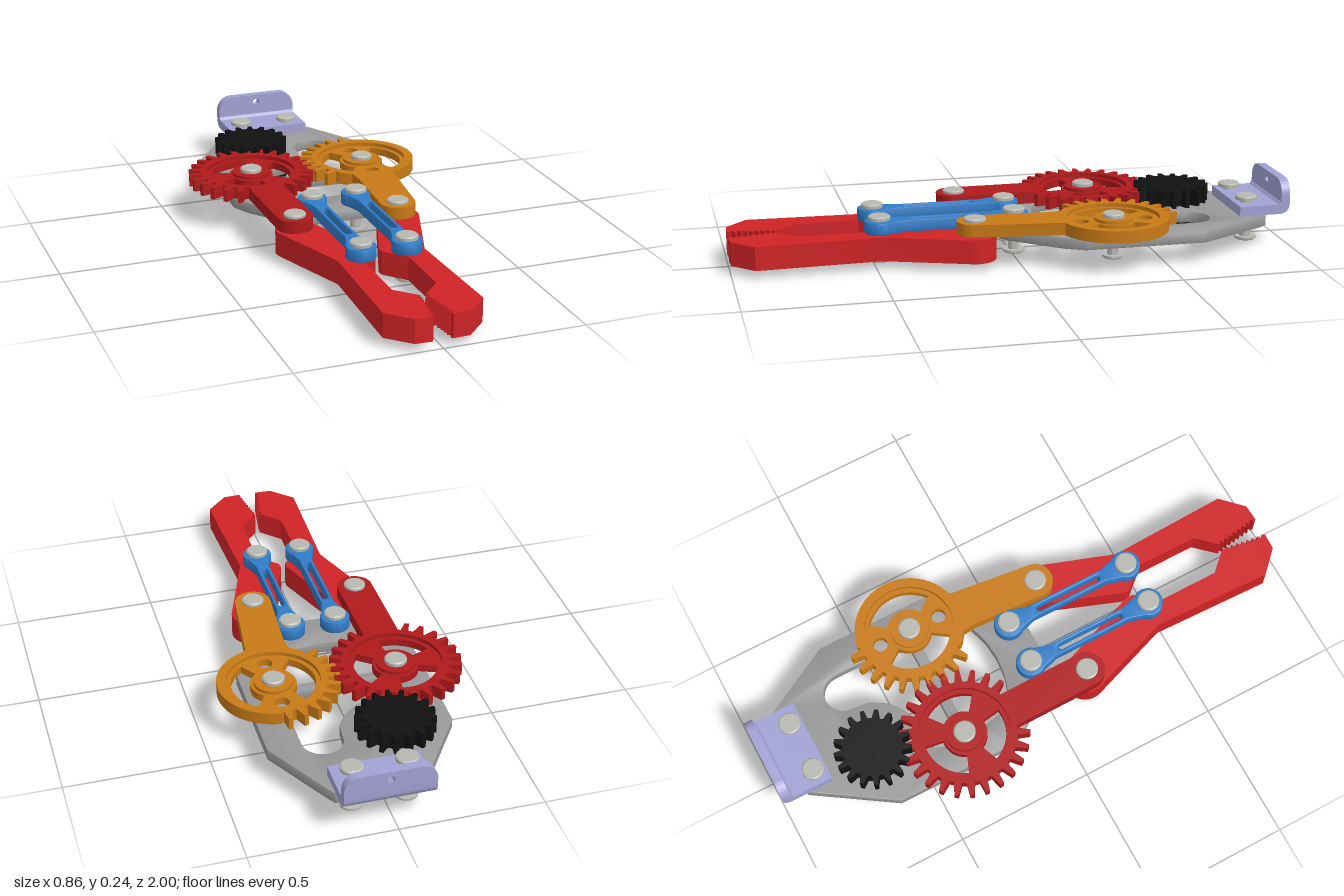
import * as THREE from 'three';
import { toCreasedNormals } from 'three/addons/utils/BufferGeometryUtils.js';

const mat = (color) => new THREE.MeshStandardMaterial({ color });
const RED = mat(0xd02326), GEAR_RED = mat(0xb01a1c), ORANGE = mat(0xc87a16), BLUE = mat(0x2f7cc8);
const GREY = mat(0x999999), STEEL = mat(0xb8b8b2), BLACK = mat(0x111111), LAVENDER = mat(0xa2a2d4);
const TAU = Math.PI * 2, rad = THREE.MathUtils.degToRad;

const vecs = (pts) => pts.map(([x, z]) => new THREE.Vector2(x, z));
const polar = (cx, cz, r, deg) => [cx + r * Math.cos(rad(deg)), cz + r * Math.sin(rad(deg))];
const arc = (cx, cz, r, a0, a1, n = 16) =>
  Array.from({ length: n + 1 }, (_, i) => polar(cx, cz, r, a0 + ((a1 - a0) * i) / n));
const circle = (cx, cz, r, n = 40) => arc(cx, cz, r, 0, 360 - 360 / n, n - 1);

function add(group, name, geometry, material) {
  const mesh = new THREE.Mesh(geometry, material);
  mesh.name = name;
  group.add(mesh);
  return mesh;
}

// Horizontal slab: outline given as (x, z), from height y0 to y1
function slab(outline, holes, y0, y1, bevel = 0) {
  const shape = new THREE.Shape(vecs(outline));
  shape.holes = holes.map((h) => new THREE.Path(vecs(h)));
  const geo = new THREE.ExtrudeGeometry(shape, {
    depth: y1 - y0 - 2 * bevel, bevelEnabled: bevel > 0,
    bevelSize: bevel, bevelThickness: bevel, bevelOffset: -bevel, bevelSegments: 2,
  });
  geo.rotateX(Math.PI / 2).translate(0, y1 - bevel, 0);
  return toCreasedNormals(geo, 0.5);
}

// Gear outline; teeth only between the angles a0 and a1
function gearOutline(cx, cz, root, tip, teeth, a0 = 0, a1 = 360, plain = root) {
  const step = 360 / teeth, pts = [];
  const count = Math.round((a1 - a0) / step);
  for (let i = 0; i < count; i++) {
    const a = a0 + i * step;
    [[0, root], [0.2, root], [0.38, tip], [0.65, tip], [0.82, root]]
      .forEach(([f, r]) => pts.push(polar(cx, cz, r, a + f * step)));
  }
  if (count < teeth) pts.push(...arc(cx, cz, plain, a0 + count * step, a0 + 358, 40));
  return pts;
}

// Ring-segment window in a gear web
const windowPath = (cx, cz, r0, r1, mid, half) => [
  ...arc(cx, cz, r1, mid - half, mid + half),
  ...arc(cx, cz, r0, mid + half, mid - half),
];

// Through bolt with a domed head at both ends
function bolt(group, x, z) {
  const h = 0.039;
  const profile = [[0, 0.015], [h - 0.005, 0.015], [h, 0.019], [h, 0.027], [0.02, 0.027],
    [0.02, 0.163], [h, 0.163], [h, 0.174], [h - 0.005, 0.178], [0, 0.178]];
  const geo = toCreasedNormals(new THREE.LatheGeometry(vecs(profile), 32), 0.6);
  add(group, 'bolt', geo.translate(x, 0, z), STEEL);
}

// Lever gear: raised rim, recessed web with windows, hub and arm
function leverGear(name, cx, cz, outline, windows, extraHoles, arm, material) {
  const g = new THREE.Group();
  g.name = name;
  add(g, 'gearRim', slab(outline, [circle(cx, cz, 0.162, 64)], 0.122, 0.166), material);
  const holes = [...windows.map(([mid, half]) => windowPath(cx, cz, 0.08, 0.146, mid, half)), ...extraHoles];
  add(g, 'gearWeb', slab(circle(cx, cz, 0.165, 64), holes, 0.125, 0.152), material);
  add(g, 'gearHub', slab(circle(cx, cz, 0.068), [], 0.122, 0.163), material);
  add(g, 'gearArm', slab(arm, [], 0.122, 0.166), material);
  return g;
}

function basePlate() {
  const outline = [[-0.12, -0.91], [0.185, -0.91], [0.205, -0.88], [0.338, -0.635], [0.336, -0.2],
    [0.3, -0.13], [0.155, 0.045], [0.13, 0.06], [-0.12, 0.06], [-0.145, 0.045], [-0.275, -0.13],
    [-0.308, -0.2], [-0.303, -0.635], [-0.14, -0.88]];
  const rear = [...arc(0.15, -0.635, 0.07, 180, 360), [0.22, -0.43], [0.18, -0.35], [-0.15, -0.35],
    [-0.2, -0.42], ...arc(-0.1, -0.64, 0.185, 112, 20)];
  const front = [[-0.15, -0.31], [0.18, -0.31], [0.22, -0.25], [0.2, -0.17], [0.15, -0.12],
    [0.08, -0.1], [0.01, -0.093], [-0.06, -0.1], [-0.13, -0.12], [-0.18, -0.17], [-0.2, -0.25]];
  return slab(outline, [rear, front], 0.076, 0.117, 0.004);
}

function jaw(side) {
  // Serrated gripping edge
  const grip = [];
  for (let i = 0; i <= 7; i++) {
    const t = i / 7, x = 0.03 - 0.022 * t, z = 0.99 - 0.14 * t;
    grip.push([x, z], [x + 0.014, z - 0.008]);
  }
  const pts = [
    ...arc(0.19, 0.16, 0.075, 195, 385), [0.157, 0.48], [0.172, 0.92], [0.095, 0.997],
    [0.034, 1], ...grip, [0.008, 0.835], [0.078, 0.76], [0.078, 0.53], [0.012, 0.455], [0.01, 0.43],
  ];
  return slab(pts.map(([x, z]) => [side * x - 0.003, z]), [], 0.03, 0.115);
}

function link(x) {
  const z0 = 0, z1 = 0.48, w = 0.024;
  const outline = [
    ...arc(x, z0, 0.053, 140, 400, 28), [x + w, z0 + 0.09],
    [x + w, z1 - 0.09], ...arc(x, z1, 0.053, -40, 220, 28), [x - w, z1 - 0.09], [x - w, z0 + 0.09],
  ];
  const slot = [...arc(x, 0.125, 0.012, 180, 360, 10), ...arc(x, 0.36, 0.012, 0, 180, 10)];
  return slab(outline, [slot], 0.117, 0.161, 0.004);
}

function bracket() {
  const g = new THREE.Group();
  g.name = 'mountBracket';
  const x0 = -0.125, w = 0.31;
  // Foot with rounded bend, drawn as (-z, y) and swept along x
  const foot = [[0.812, 0.117], ...arc(0.965, 0.152, 0.035, -90, 0, 8), [1, 0.18], [0.968, 0.18],
    [0.968, 0.162], [0.958, 0.152], [0.812, 0.152]];
  const footGeo = new THREE.ExtrudeGeometry(new THREE.Shape(vecs(foot)), { depth: w, bevelEnabled: false });
  footGeo.rotateY(Math.PI / 2).translate(x0, 0, 0);
  add(g, 'bracketFoot', toCreasedNormals(footGeo, 0.5), LAVENDER);
  // Upright flange with rounded top corners and a hole
  const r = 0.055;
  const flange = new THREE.Shape(vecs([[x0, 0.178], [x0 + w, 0.178],
    ...arc(x0 + w - r, 0.24 - r, r, 0, 90), ...arc(x0 + r, 0.24 - r, r, 90, 180)]));
  flange.holes.push(new THREE.Path(vecs(circle(0.03, 0.21, 0.013, 20))));
  const geo = new THREE.ExtrudeGeometry(flange, { depth: 0.032, bevelEnabled: false });
  add(g, 'bracketFlange', toCreasedNormals(geo.translate(0, 0, -1), 0.5), LAVENDER);
  return g;
}

export function createModel() {
  const model = new THREE.Group();
  model.name = 'roboticGripper';

  add(model, 'basePlate', basePlate(), GREY);
  model.add(bracket());

  // Motor below the plate and its pinion above
  const body = [[0, 0], [0.127, 0], [0.137, 0.008], [0.137, 0.045], [0.127, 0.056], [0.12, 0.058], [0.12, 0.077], [0, 0.077]];
  add(model, 'motor', toCreasedNormals(new THREE.LatheGeometry(vecs(body), 48), 0.5).translate(-0.1, 0, -0.64), BLACK);
  add(model, 'pinion', slab(gearOutline(-0.1, -0.64, 0.106, 0.137, 17), [], 0.117, 0.179), BLACK);

  // Driven gear with full teeth
  model.add(leverGear('rightLeverGear', -0.2, -0.33, gearOutline(-0.2, -0.33, 0.186, 0.23, 26),
    [[0, 38], [120, 38], [240, 38]], [],
    [[-0.265, -0.18], [-0.2, -0.16], [-0.138, -0.18], ...arc(-0.2, 0.16, 0.064, 0, 180, 24)], GEAR_RED));

  // Follower gear, toothed only where it meshes
  model.add(leverGear('leftLeverGear', 0.235, -0.325,
    gearOutline(0.235, -0.325, 0.186, 0.23, 26, 138, 278, 0.195),
    [[0, 55], [180, 55]], [circle(0.235, -0.441, 0.026, 24), circle(0.235, -0.209, 0.026, 24)],
    [[0.135, -0.175], [0.235, -0.155], [0.31, -0.165], [0.285, -0.13],
      ...arc(0.185, 0.16, 0.064, 10, 180, 24), [0.14, -0.1]], ORANGE));

  // Jaws and parallel links
  for (const [side, label, linkX] of [[-1, 'right', -0.078], [1, 'left', 0.088]]) {
    add(model, label + 'Jaw', jaw(side), RED);
    add(model, label + 'Link', link(linkX), BLUE);
    bolt(model, linkX, 0);
    bolt(model, linkX, 0.48);
  }

  // Remaining bolts: gear pivots, jaw pivots, bracket
  for (const [x, z] of [[-0.2, -0.33], [0.235, -0.325], [-0.2, 0.16], [0.185, 0.16], [-0.07, -0.857], [0.117, -0.857]])
    bolt(model, x, z);

  return model;
}
